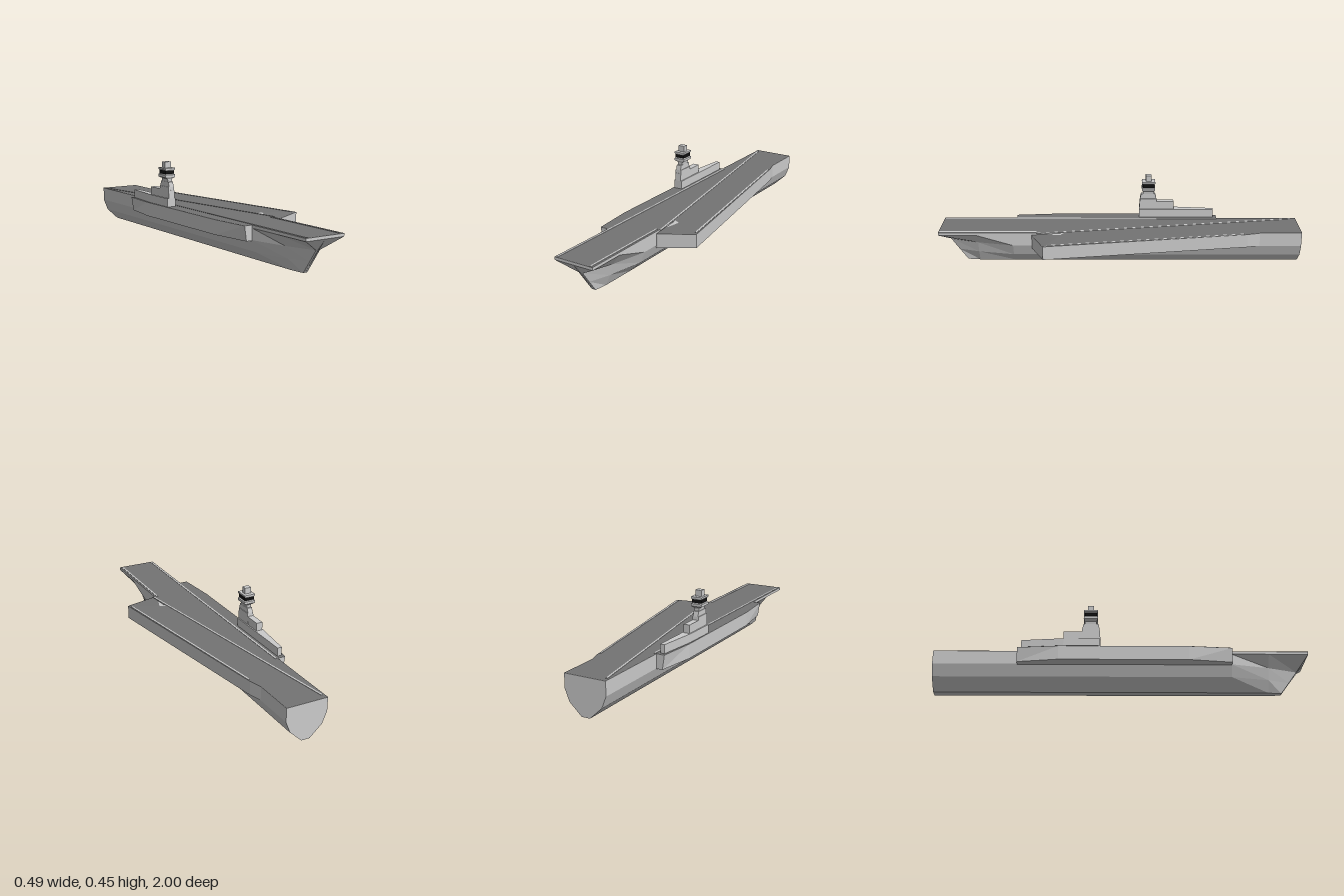
import * as THREE from 'three';

const grey = new THREE.MeshStandardMaterial({ color: 0xcccccc, flatShading: true });
const deckGrey = new THREE.MeshStandardMaterial({ color: 0x747474, flatShading: true, side: THREE.DoubleSide });
const black = new THREE.MeshStandardMaterial({ color: 0x111111, flatShading: true });

// Skin a list of rings (arrays of [x, y, z]) and cap both ends
function loft(rings) {
  const pos = [];
  const tri = (a, b, c) => pos.push(...a, ...b, ...c);
  const n = rings[0].length;
  for (let r = 0; r < rings.length - 1; r++) {
    const a = rings[r], b = rings[r + 1];
    for (let i = 0; i < n; i++) {
      const j = (i + 1) % n;
      tri(a[i], a[j], b[j]);
      tri(a[i], b[j], b[i]);
    }
  }
  const first = rings[0], last = rings[rings.length - 1];
  for (let i = 1; i < n - 1; i++) {
    tri(first[0], first[i + 1], first[i]);
    tri(last[0], last[i], last[i + 1]);
  }
  const geo = new THREE.BufferGeometry();
  geo.setAttribute('position', new THREE.Float32BufferAttribute(pos, 3));
  geo.computeVertexNormals();
  return geo;
}

// Horizontal rings: an outline of [x, z] or a rectangle at height y
const outlineAt = (y, pts) => pts.map(([x, z]) => [x, y, z]);
const rectAt = (y, x0, x1, z0, z1) => outlineAt(y, [[x1, z1], [x1, z0], [x0, z0], [x0, z1]]);

export function createModel() {
  const model = new THREE.Group();
  const add = (name, geo, mat = grey, parent = model) => {
    const mesh = new THREE.Mesh(geo, mat);
    mesh.name = name;
    parent.add(mesh);
    return mesh;
  };

  // Hull: half widths at five levels, lofted stern to bow, closed on the stem
  const cx = -0.065;
  const levels = [0, 0.062, 0.125, 0.185, 0.2];
  const section = (z, half) => {
    const side = s => levels.map((y, i) => [cx + s * half[i], y, Array.isArray(z) ? z[i] : z]);
    return [...side(1), ...side(-1).reverse()];
  };
  const full = [0.023, 0.09, 0.115, 0.115, 0.115];
  const stemZ = [0.86, 0.905, 0.95, 1, 1];
  add('hull', loft([
    section(-1, full),
    section(0.59, full),
    section(0.79, [0.021, 0.05, 0.068, 0.115, 0.115]),
    section(stemZ, [0.012, 0.012, 0.012, 0.115, 0.115]),
    section(stemZ, [0, 0, 0, 0, 0]),
  ]));

  // Overhang under the island
  const rightEdge = [[-0.225, -0.55], [-0.245, -0.33], [-0.245, 0.36], [-0.225, 0.59]];
  const rightInner = [[-0.17, 0.59], [-0.17, -0.55]];
  const rightBottom = rightEdge.map(([x, z]) => [x < -0.23 ? x : -0.213, z]);
  add('rightOverhang', loft([
    outlineAt(0.122, [...rightInner, ...rightBottom]),
    outlineAt(0.2, [...rightInner, ...rightEdge]),
  ]));

  // Overhang under the angled deck, dipping at its inner front corner
  const leftOutline = [[0.243, 0.41], [0.07, -0.7], [0.05, -0.77], [0.03, -0.77], [0.03, 0.3], [0.03, 0.485], [0.055, 0.485]];
  const raise = ys => leftOutline.map(([x, z], i) => [x, ys[i], z]);
  add('leftOverhang', loft([
    raise([0.125, 0.125, 0.125, 0.125, 0.114, 0.11, 0.11]),
    raise([0.2, 0.2, 0.2, 0.2, 0.2, 0.187, 0.187]),
  ]));

  // Flight deck surface
  const deckY = 0.2006;
  const deckOutline = [
    [-0.18, 1], [0.05, 1], [0.05, 0.3], [0.243, 0.41], [0.07, -0.7], [0.05, -0.77], [0.05, -1],
    [-0.18, -1], [-0.18, -0.55], ...rightEdge, [-0.18, 0.59],
  ];
  const deckShape = new THREE.Shape(deckOutline.map(([x, z]) => new THREE.Vector2(x, -z)));
  add('flightDeck', new THREE.ShapeGeometry(deckShape).rotateX(-Math.PI / 2).translate(0, deckY, 0), deckGrey);
  const dip = new THREE.BufferGeometry();
  dip.setAttribute('position', new THREE.Float32BufferAttribute(
    [0.05, deckY, 0.3, 0.05, 0.188, 0.485, 0.055, 0.188, 0.485,
      0.05, deckY, 0.3, 0.055, 0.188, 0.485, 0.243, deckY, 0.41], 3));
  dip.computeVertexNormals();
  add('deckFrontSlope', dip, deckGrey);

  // Raised deck stripes from [x, z] to [x, z]
  const stripes = [
    [-0.165, -0.97, 0.058, 0.46],
    [0.066, -0.68, 0.228, 0.39],
    [0.034, 0.46, 0.034, 0.995],
    [-0.169, -0.55, -0.169, 0.995],
  ];
  for (const [x0, z0, x1, z1] of stripes) {
    const geo = new THREE.BoxGeometry(0.01, 0.003, Math.hypot(x1 - x0, z1 - z0));
    const stripe = add('deckStripe', geo);
    stripe.position.set((x0 + x1) / 2, 0.201, (z0 + z1) / 2);
    stripe.rotation.y = Math.atan2(x1 - x0, z1 - z0);
  }

  // Island: stepped base, tapering tower, flared bridge
  const island = new THREE.Group();
  island.name = 'island';
  model.add(island);
  const base = [[-0.19, -0.11], [-0.19, -0.53], [-0.215, -0.53], [-0.238, -0.305], [-0.24, -0.11]];
  add('islandBase', loft([outlineAt(0.2, base), outlineAt(0.247, base)]), grey, island);
  add('islandUpperDeck', loft([
    rectAt(0.247, -0.232, -0.197, -0.305, -0.112),
    rectAt(0.292, -0.232, -0.197, -0.305, -0.112),
  ]), grey, island);
  add('tower', loft([
    rectAt(0.247, -0.232, -0.196, -0.212, -0.109),
    rectAt(0.31, -0.232, -0.196, -0.207, -0.114),
  ]), grey, island);
  add('towerTop', loft([
    rectAt(0.31, -0.228, -0.199, -0.207, -0.114),
    rectAt(0.337, -0.228, -0.199, -0.2, -0.12),
  ]), grey, island);
  add('bridgeFlare', loft([
    rectAt(0.337, -0.225, -0.201, -0.192, -0.13),
    rectAt(0.353, -0.227, -0.199, -0.192, -0.13),
    rectAt(0.362, -0.245, -0.182, -0.199, -0.124),
    rectAt(0.375, -0.245, -0.182, -0.199, -0.124),
    rectAt(0.38, -0.241, -0.187, -0.195, -0.128),
  ]), grey, island);
  add('bridgeWindows', loft([
    rectAt(0.378, -0.241, -0.187, -0.194, -0.129),
    rectAt(0.401, -0.241, -0.187, -0.194, -0.129),
  ]), black, island);
  add('bridgeRoof', loft([
    rectAt(0.399, -0.241, -0.187, -0.196, -0.127),
    rectAt(0.404, -0.245, -0.182, -0.199, -0.124),
    rectAt(0.413, -0.245, -0.182, -0.199, -0.124),
  ]), grey, island);
  add('mastHouse', loft([
    rectAt(0.412, -0.233, -0.196, -0.177, -0.146),
    rectAt(0.446, -0.233, -0.196, -0.177, -0.146),
  ]), grey, island);

  return model;
}
